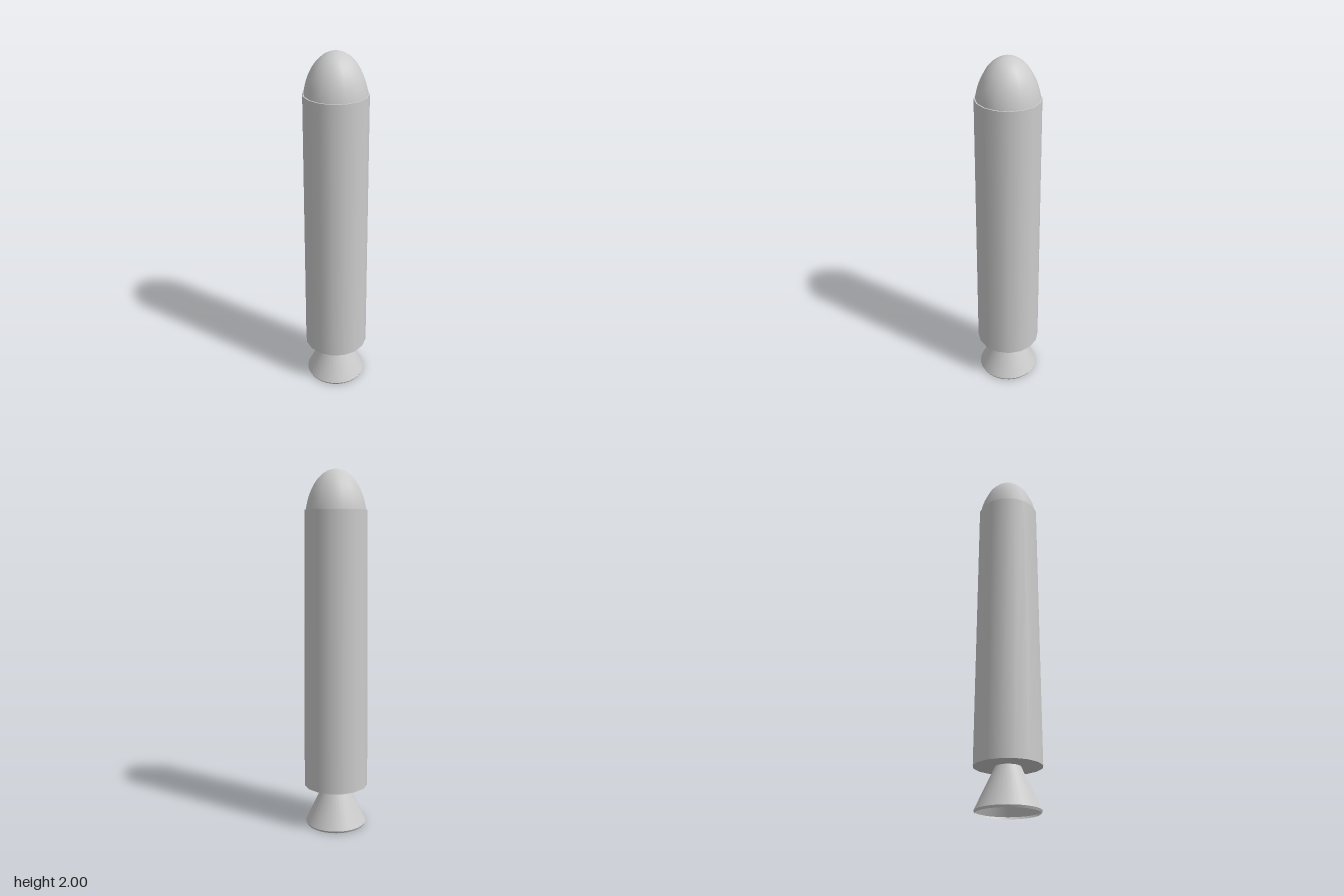
import * as THREE from 'three';

export function createModel() {
  const model = new THREE.Group();
  const solid = new THREE.MeshStandardMaterial({ color: 0xcccccc });
  const thin = new THREE.MeshStandardMaterial({ color: 0xcccccc, side: THREE.DoubleSide });

  const add = (name, geometry, y, material = solid) => {
    const mesh = new THREE.Mesh(geometry, material);
    mesh.name = name;
    mesh.position.y = y;
    model.add(mesh);
    return mesh;
  };

  // Slightly tapered sixteen-sided casing
  const bottom = 0.235, top = 1.785;
  add('boosterBody', new THREE.CylinderGeometry(0.172, 0.183, top - bottom, 16), (top + bottom) / 2);

  // Rounded nose: the upper half of a stretched sphere, sunk into the casing
  const nose = new THREE.SphereGeometry(0.17, 16, 16, 0, Math.PI * 2, 0, Math.PI / 2);
  nose.scale(1, 0.28 / 0.17, 1);
  add('noseCone', nose, 1.72);

  // Hollow flared nozzle, open at the bottom
  const bell = [[0.174, 0.012], [0.068, 0.235], [0.063, 0.245]];
  add('engineNozzle', new THREE.LatheGeometry(bell.map(([r, y]) => new THREE.Vector2(r, y)), 32), 0, thin);

  // Narrow inward-turned lip around the nozzle mouth
  add('nozzleLip', new THREE.CylinderGeometry(0.174, 0.168, 0.012, 32, 1, true), 0.006, thin);

  return model;
}
